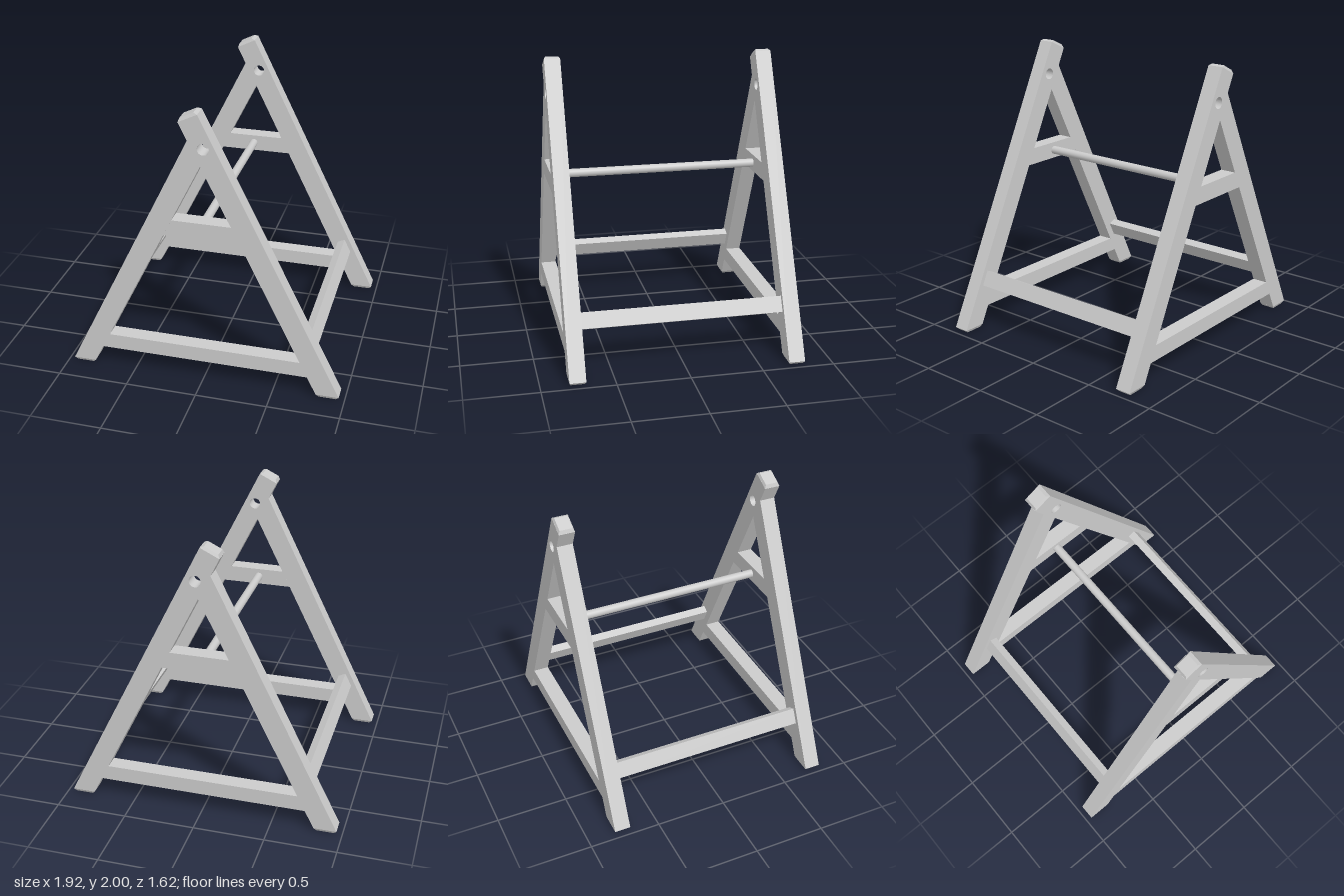
import * as THREE from 'three';

const SLOPE = 0.494;               // sideways run of a leg per unit of height
const TILT = Math.atan(SLOPE);
const Z_IN = 0.697, DEPTH = 0.112; // inner face and thickness of each A-frame
const outer = y => 0.97 - SLOPE * y;
const inner = y => 0.81 - SLOPE * y;
const material = new THREE.MeshStandardMaterial({ color: 0xcccccc });

function add(parent, name, geometry) {
  const mesh = new THREE.Mesh(geometry, material);
  mesh.name = name;
  parent.add(mesh);
  return mesh;
}

// Flat timber cut to an outline, with an optional round hole
function timber(points, hole) {
  const shape = new THREE.Shape(points.map(p => new THREE.Vector2(...p)));
  if (hole) shape.holes.push(new THREE.Path().absarc(hole[0], hole[1], hole[2], 0, Math.PI * 2, true));
  return new THREE.ExtrudeGeometry(shape, { depth: DEPTH, bevelEnabled: false, curveSegments: 24 })
    .translate(0, 0, -DEPTH / 2);
}

// Chamfered end: a thin block whose upper face is shrunk
function chamferedEnd(width) {
  const inset = 0.02;
  const g = new THREE.BoxGeometry(width, 0.02, DEPTH);
  const p = g.attributes.position;
  for (let i = 0; i < p.count; i++) {
    if (p.getY(i) > 0) {
      p.setX(i, p.getX(i) - Math.sign(p.getX(i)) * inset);
      p.setZ(i, p.getZ(i) - Math.sign(p.getZ(i)) * inset / 2);
    }
  }
  const flat = g.toNonIndexed();
  flat.computeVertexNormals();
  return flat;
}

function aFrame(name) {
  const frame = new THREE.Group();
  frame.name = name;

  // Long leg runs past the joint and carries the pivot hole
  add(frame, 'longLeg', timber([
    [inner(0.02), 0.02], [outer(0.02), 0.02],
    [outer(1.993), 1.993], [inner(1.93), 1.93],
  ], [0.02, 1.76, 0.04]));
  const tip = add(frame, 'legTip', chamferedEnd(0.143));
  tip.position.set(-0.083, 1.97, 0);
  tip.rotation.z = TILT;

  // Short leg butts against the long one
  add(frame, 'shortLeg', timber([
    [-outer(0.02), 0.02], [-inner(0.02), 0.02],
    [0, 1.64], [inner(1.81), 1.81],
  ]));

  // Chamfered feet
  for (const side of [-1, 1]) {
    const foot = add(frame, 'foot', chamferedEnd(0.16));
    foot.position.set(side * 0.88, 0.01, 0);
    foot.rotation.x = Math.PI;
  }

  // Crossbars fitted between the legs
  for (const [barName, low, high] of [['lowerCrossbar', 0.15, 0.26], ['upperCrossbar', 1.11, 1.23]]) {
    add(frame, barName, timber([
      [-inner(low), low], [inner(low), low], [inner(high), high], [-inner(high), high],
    ]));
  }
  return frame;
}

export function createModel() {
  const model = new THREE.Group();
  model.name = 'trestleStand';

  for (const side of [-1, 1]) {
    const frame = aFrame(side > 0 ? 'frontFrame' : 'backFrame');
    frame.position.z = side * (Z_IN + DEPTH / 2);
    model.add(frame);

    // Side rails, tilted with the legs
    const rail = add(model, side > 0 ? 'leftRail' : 'rightRail', new THREE.BoxGeometry(0.06, 0.112, Z_IN * 2));
    rail.position.set(side * 0.727, 0.355, 0);
    rail.rotation.z = side * TILT;
  }

  // Round rod between the upper crossbars
  const rod = add(model, 'rod', new THREE.CylinderGeometry(0.03, 0.03, Z_IN * 2, 24));
  rod.rotation.x = Math.PI / 2;
  rod.position.set(-0.015, 1.17, 0);
  return model;
}
